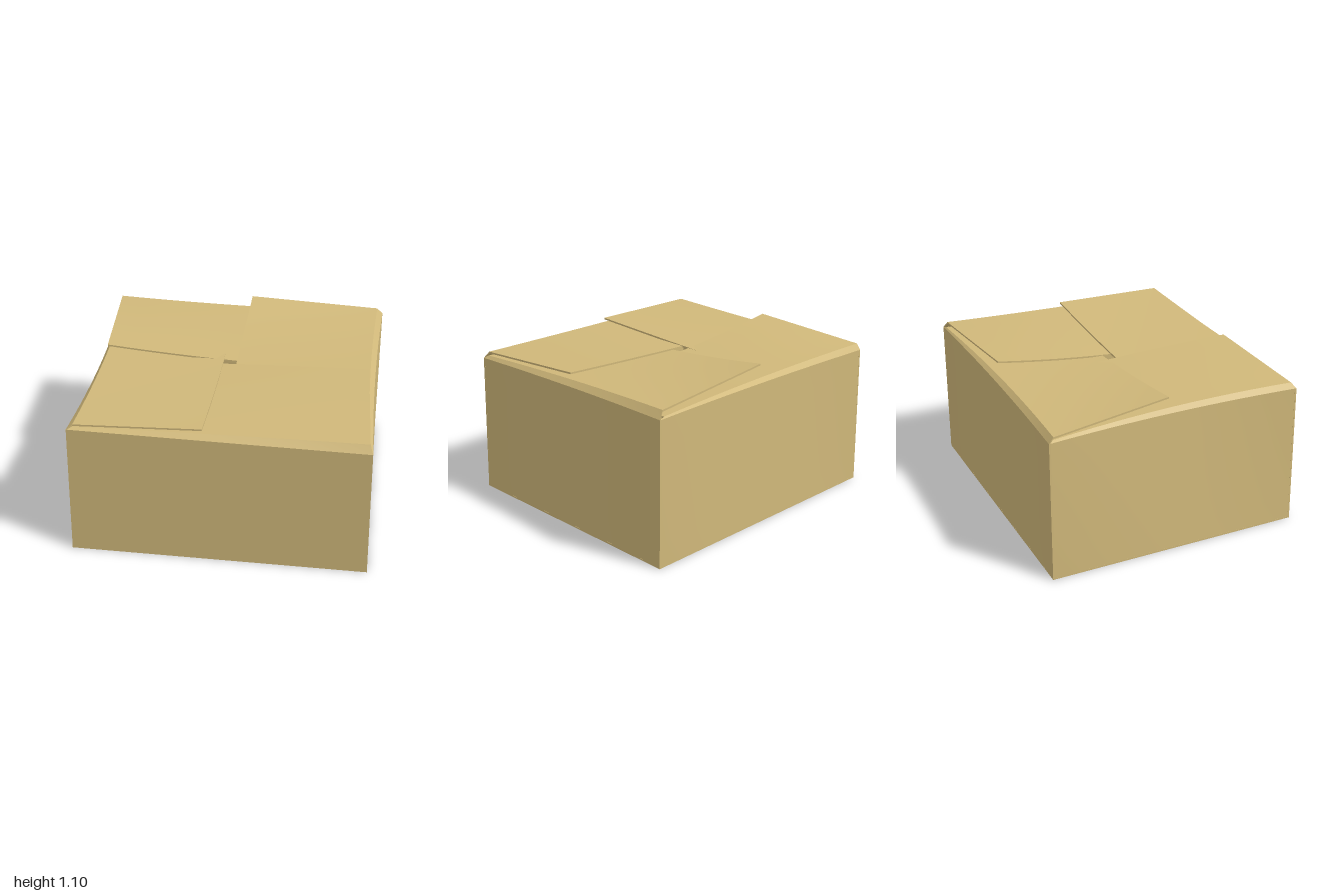
import * as THREE from 'three';

const card = new THREE.MeshStandardMaterial({ color: 0xd0b87a, side: THREE.DoubleSide });

// Value at t (0..1) on the curve through three points
function through([a, b, c], t) {
  const wa = (1 - t) * (1 - 2 * t), wb = 4 * t * (1 - t), wc = t * (2 * t - 1);
  return a.map((v, i) => v * wa + b[i] * wb + c[i] * wc);
}

// Thin sheet of card spanning two curved edges; depth is the offset to its other face
function sheet(name, from, to, depth) {
  const geo = new THREE.BoxGeometry(1, 1, 1, 6, 1, 12);
  const pos = geo.attributes.position;
  for (let i = 0; i < pos.count; i++) {
    const s = pos.getX(i) + 0.5, t = pos.getZ(i) + 0.5, under = 0.5 - pos.getY(i);
    const a = through(from, t), b = through(to, t);
    pos.setXYZ(i, ...a.map((v, k) => v + (b[k] - v) * s + depth[k] * under));
  }
  geo.computeVertexNormals();
  const mesh = new THREE.Mesh(geo, card);
  mesh.name = name;
  return mesh;
}

const middle = (a, b, push = [0, 0, 0]) => a.map((v, i) => (v + b[i]) / 2 + push[i]);

export function createModel() {
  const model = new THREE.Group();
  model.name = 'cardboardBox';

  // Corners in order: front left, back left, back right, front right
  const low = [[1, 0, 0.88], [1, 0, -0.88], [-0.97, 0, -0.88], [-1, 0, 0.88]];
  const high = [[0.98, 0.96, 0.88], [0.99, 0.99, -0.88], [-0.96, 0.98, -0.88], [-0.97, 0.98, 0.88]];

  // Each flap runs from its tucked end to its raised end
  const sides = [
    {
      name: 'left', inward: [-1, 0, 0], bow: 0.02,
      hinge: [[0.96, 0.98, 0.85], [0.93, 1.01, 0], [0.95, 1.04, -0.86]],
      free: [[0, 0.97, 0.8], [0.01, 1, 0], [0.03, 1.1, -0.82]],
    },
    {
      name: 'back', inward: [0, 0, 1], bow: 0.02,
      hinge: [[0.95, 1, -0.87], [0, 1.01, -0.83], [-0.96, 1.02, -0.85]],
      free: [[0.92, 0.98, -0.07], [0, 1, -0.06], [-0.89, 1.08, -0.03]],
    },
    {
      name: 'right', inward: [1, 0, 0], bow: 0.04,
      hinge: [[-0.94, 0.99, -0.85], [-0.9, 1.01, 0], [-0.93, 1.01, 0.86]],
      free: [[-0.1, 0.98, -0.78], [-0.08, 1.01, 0], [-0.1, 1.03, 0.84]],
    },
    {
      name: 'front', inward: [0, 0, -1], bow: 0,
      hinge: [[-0.94, 0.99, 0.86], [0, 1, 0.84], [0.96, 1.01, 0.84]],
      free: [[-0.88, 0.97, 0.02], [0, 1.01, 0], [0.92, 1.05, 0.02]],
    },
  ];

  // Walls, folded rims and interleaved flaps
  sides.forEach(({ name, inward, bow, hinge, free }, i) => {
    const j = (i + 1) % 4;
    const bottom = [low[i], middle(low[i], low[j]), low[j]];
    const top = [high[i], middle(high[i], high[j], inward.map(v => v * bow)), high[j]];
    model.add(
      sheet(name + 'Wall', bottom, top, inward.map(v => v * 0.012)),
      sheet(name + 'Rim', top, hinge, [0, -0.012, 0]),
      sheet(name + 'Flap', hinge, free, [0, -0.012, 0]),
    );
  });

  // Closed bottom
  const lift = p => [p[0], 0.012, p[2]];
  const [fl, bl, br, fr] = low.map(lift);
  model.add(sheet('base', [fl, middle(fl, bl), bl], [fr, middle(fr, br), br], [0, -0.012, 0]));

  return model;
}
